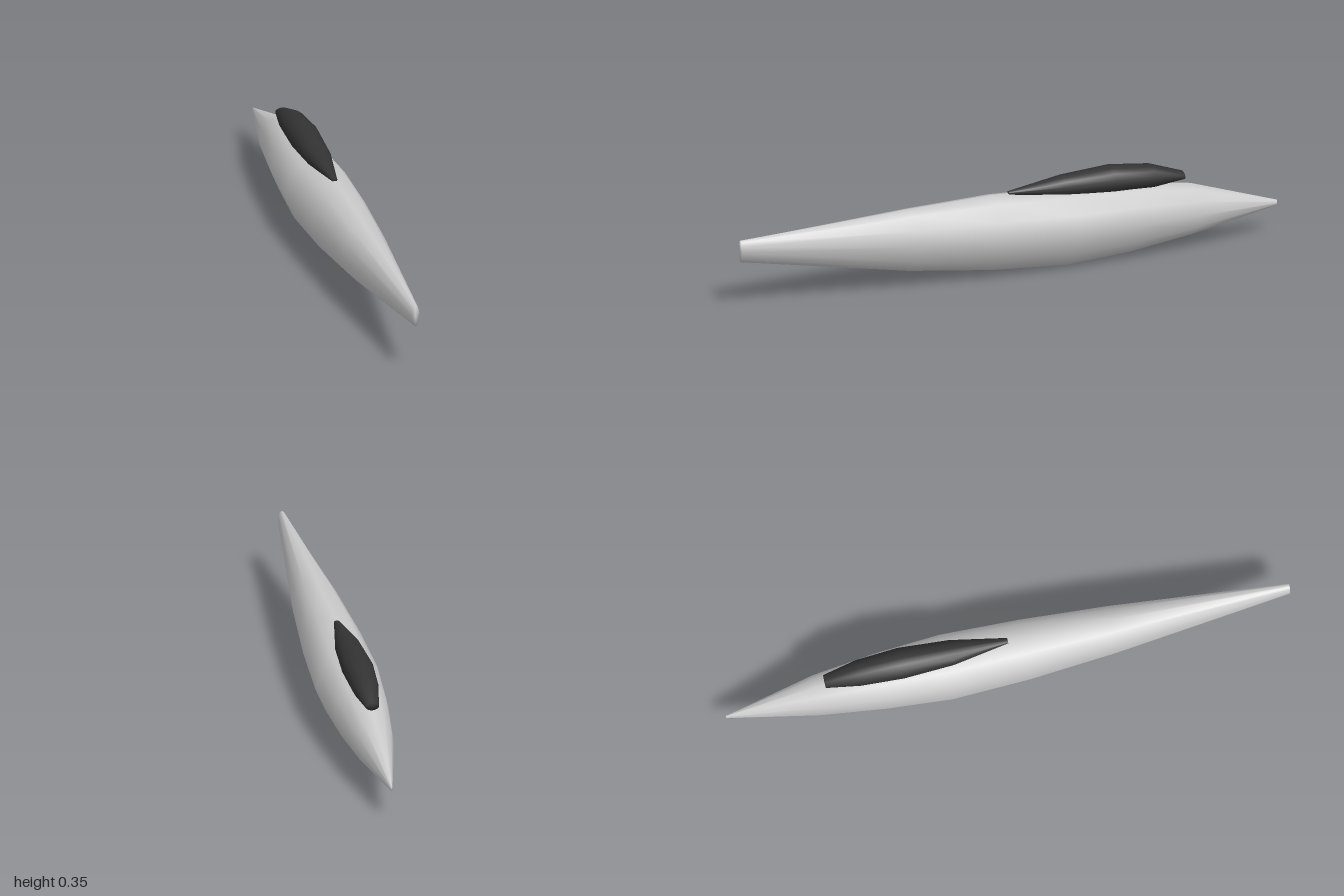
import * as THREE from 'three';

// Skins rings of [x, y] section points along z; stations run front to back.
// station: [z, topY, midY, bottomY, halfWidth]
function loft(section, stations) {
  const n = section.length, pos = [], idx = [];
  for (const [z, top, mid, bottom, w] of stations) {
    for (const [x, y] of section) {
      pos.push(x * w, mid + y * (y > 0 ? top - mid : mid - bottom), z);
    }
  }
  const last = (stations.length - 1) * n;
  for (let i = 0; i < last; i += n) {
    for (let j = 0; j < n; j++) {
      const k = (j + 1) % n;
      idx.push(i + j, i + n + j, i + k, i + k, i + n + j, i + n + k);
    }
  }
  // End caps
  const front = pos.length / 3, back = front + 1;
  const a = stations[0], b = stations[stations.length - 1];
  pos.push(0, a[2], a[0], 0, b[2], b[0]);
  for (let j = 0; j < n; j++) {
    const k = (j + 1) % n;
    idx.push(front, j, k, back, last + k, last + j);
  }
  const geo = new THREE.BufferGeometry();
  geo.setAttribute('position', new THREE.Float32BufferAttribute(pos, 3));
  geo.setIndex(idx);
  geo.computeVertexNormals();
  return geo;
}

// Mirrors a right-hand half section (bottom to top) into a full loop
function mirrored(half) {
  const inner = half.slice(1, -1).reverse().map(([x, y]) => [-x, y]);
  return [...half, ...inner];
}

export function createModel() {
  const model = new THREE.Group();
  const add = (name, geo, color) => {
    const mesh = new THREE.Mesh(geo, new THREE.MeshStandardMaterial({ color }));
    mesh.name = name;
    model.add(mesh);
  };

  // Fuselage: rounded upper half, keel-like lower half
  const hullSection = mirrored([
    [0, -1], [0.31, -0.85], [0.7, -0.55], [1, 0], [0.866, 0.5], [0.52, 0.88], [0, 1],
  ]);
  add('fuselage', loft(hullSection, [
    [1, 0.266, 0.225, 0.186, 0.014],
    [0.37, 0.293, 0.18, 0.064, 0.083],
    [0.06, 0.301, 0.16, 0.023, 0.106],
    [-0.22, 0.288, 0.153, 0.003, 0.117],
    [-0.45, 0.272, 0.15, 0.018, 0.1],
    [-0.68, 0.241, 0.143, 0.05, 0.071],
    [-1, 0.134, 0.124, 0.114, 0.004],
  ]), 0xcccccc);

  // Canopy: oval sections, cut off bluntly at the back
  const oval = [];
  for (let i = 0; i < 14; i++) {
    const t = (i / 14) * Math.PI * 2 - Math.PI / 2;
    oval.push([Math.cos(t), Math.sin(t)]);
  }
  add('canopy', loft(oval, [
    [0, 0.307, 0.301, 0.295, 0.01],
    [-0.2, 0.338, 0.3, 0.262, 0.045],
    [-0.38, 0.35, 0.3, 0.25, 0.055],
    [-0.53, 0.333, 0.291, 0.249, 0.046],
    [-0.65, 0.29, 0.276, 0.262, 0.024],
  ]), 0x333333);

  return model;
}
